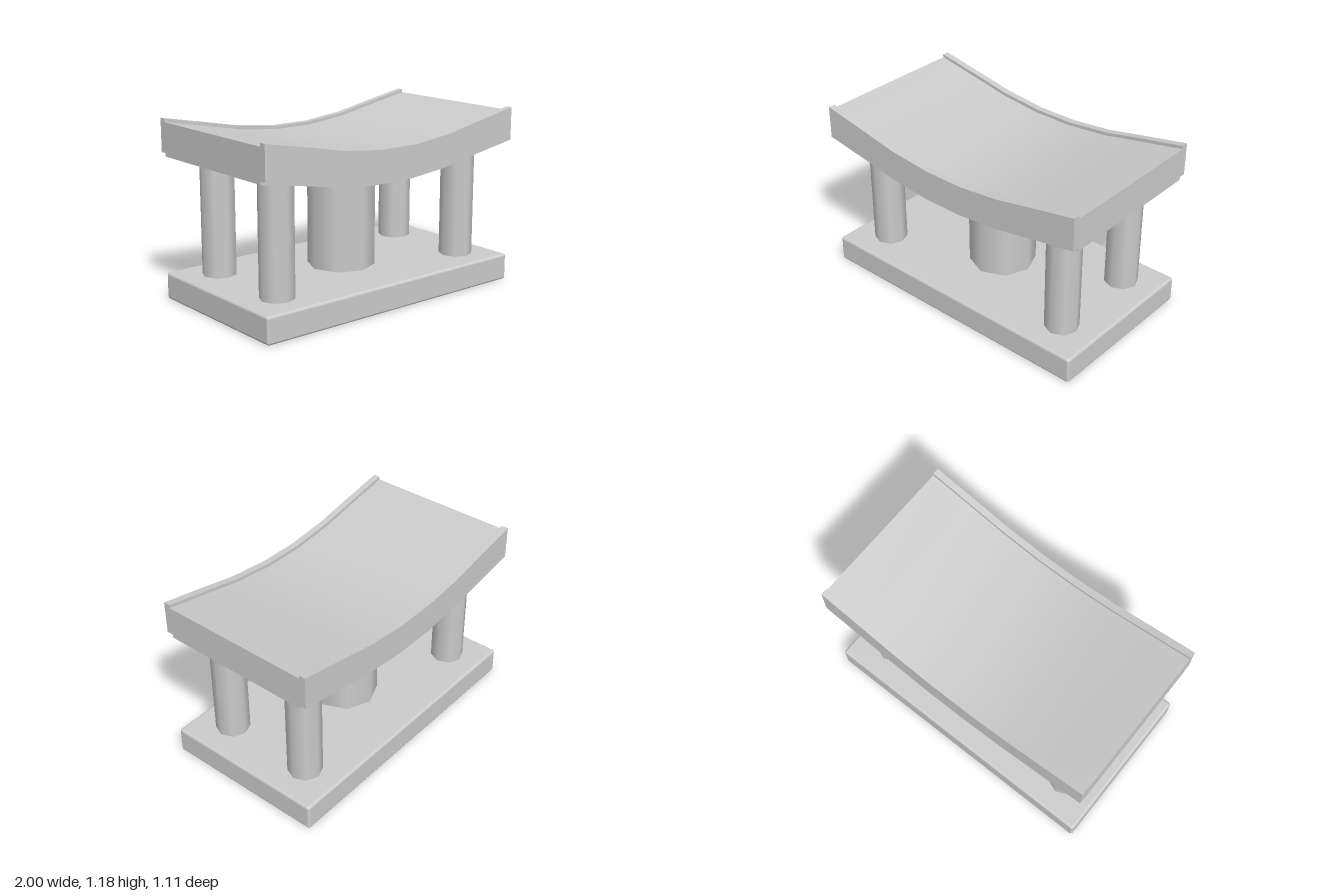
import * as THREE from 'three';
import { toCreasedNormals } from 'three/addons/utils/BufferGeometryUtils.js';
import { RoundedBoxGeometry } from 'three/addons/geometries/RoundedBoxGeometry.js';

// Half profile of the dished seat, from the centre outwards: x, underside y, top y
const SEAT_PROFILE = [
  [0.143, 0.817, 1.02],
  [0.429, 0.845, 1.051],
  [0.714, 0.897, 1.108],
  [1.0, 0.945, 1.163],
];

// Curved slab from z0 to z1, raised by lift
function curvedSlab(z0, z1, lift) {
  const mirrored = SEAT_PROFILE.map(([x, low, high]) => [-x, low, high]).reverse();
  const stations = [...mirrored, ...SEAT_PROFILE];
  const underside = stations.map(([x, low]) => new THREE.Vector2(x, low + lift));
  const top = stations.map(([x, , high]) => new THREE.Vector2(x, high + lift)).reverse();
  const geometry = new THREE.ExtrudeGeometry(new THREE.Shape([...underside, ...top]), {
    depth: z1 - z0,
    bevelEnabled: false,
  });
  geometry.translate(0, 0, z0);
  return toCreasedNormals(geometry, 0.5);
}

export function createModel() {
  const model = new THREE.Group();
  model.name = 'stool';
  const stone = new THREE.MeshStandardMaterial({ color: 0xcccccc });
  stone.name = 'pale grey';

  function add(name, geometry, x = 0, y = 0, z = 0) {
    const mesh = new THREE.Mesh(geometry, stone);
    mesh.name = name;
    mesh.position.set(x, y, z);
    model.add(mesh);
  }

  // Eight-sided column standing on the base and ending inside the seat
  function addColumn(name, radius, topY, x, z) {
    const bottomY = 0.16;
    const height = topY - bottomY;
    add(name, new THREE.CylinderGeometry(radius, radius, height, 8), x, bottomY + height / 2, z);
  }

  // Base with softened edges
  add('base', new RoundedBoxGeometry(2, 0.178, 1.11, 3, 0.018), 0, 0.089, 0);

  // Central column and four legs
  addColumn('centralColumn', 0.222, 0.88, 0, 0);
  for (const sx of [1, -1]) {
    for (const sz of [1, -1]) {
      const name = (sz > 0 ? 'front' : 'back') + (sx > 0 ? 'Left' : 'Right') + 'Leg';
      addColumn(name, 0.111, 0.98, sx * 0.753, sz * 0.311);
    }
  }

  // Seat with a slightly raised rail along the front and back edges
  add('seat', curvedSlab(-0.51, 0.51, 0));
  add('frontRail', curvedSlab(0.51, 0.555, 0.022));
  add('backRail', curvedSlab(-0.555, -0.51, 0.022));

  return model;
}
